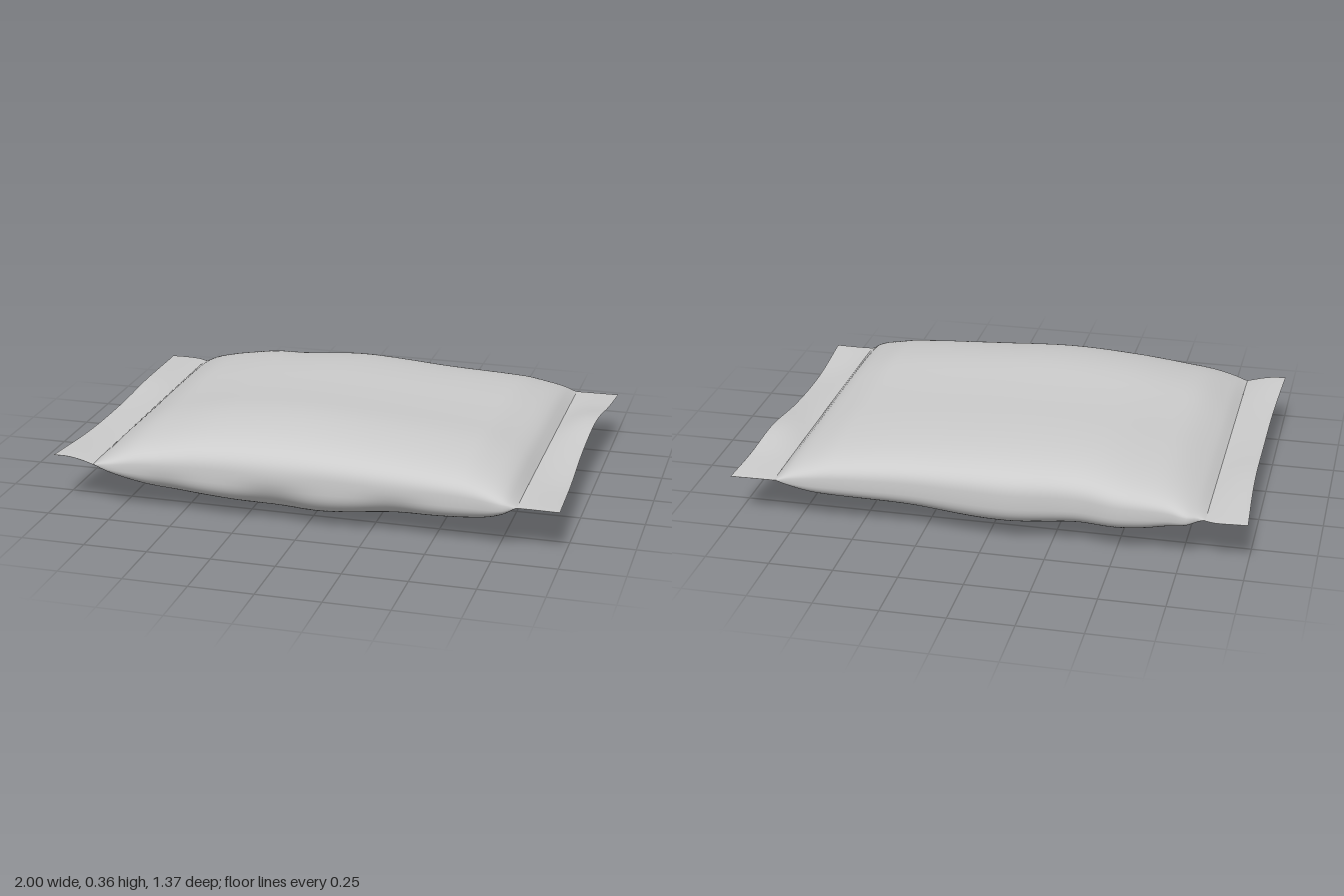
import * as THREE from 'three';

const SEAM_Y = 0.19;
const LEFT = -0.84, RIGHT = 0.825; // where the filled part meets the flat seals
const AROUND = 112;

// Smooth interpolation through [position, value] pairs.
function smooth(pts) {
  const slope = pts.map((p, i) => {
    const a = pts[Math.max(i - 1, 0)], b = pts[Math.min(i + 1, pts.length - 1)];
    return (b[1] - a[1]) / (b[0] - a[0]);
  });
  return (x) => {
    if (x <= pts[0][0]) return pts[0][1];
    for (let i = 0; i < pts.length - 1; i++) {
      const [x0, y0] = pts[i], [x1, y1] = pts[i + 1];
      if (x > x1) continue;
      const d = x1 - x0, t = (x - x0) / d, s = 1 - t;
      return y0 * (1 + 2 * t) * s * s + slope[i] * d * t * s * s
        + y1 * t * t * (3 - 2 * t) - slope[i + 1] * d * t * t * s;
    }
    return pts[pts.length - 1][1];
  };
}

// Swelling above and below the seam, along the length.
const topHeight = smooth([[LEFT, 0.004], [-0.8, 0.04], [-0.7, 0.095], [-0.6, 0.122], [-0.4, 0.157],
  [-0.1, 0.175], [0.2, 0.16], [0.6, 0.125], [0.7, 0.095], [0.78, 0.055], [RIGHT, 0.004]]);
const bottomHeight = smooth([[LEFT, 0.004], [-0.8, 0.045], [-0.7, 0.105], [-0.6, 0.14], [-0.4, 0.162],
  [0, 0.188], [0.3, 0.158], [0.6, 0.132], [0.7, 0.11], [0.78, 0.06], [RIGHT, 0.004]]);

// Uneven fill across the depth.
const topFill = smooth([[-0.7, 0.95], [-0.3, 0.93], [0.02, 0.93], [0.3, 1.02], [0.5, 1.02], [0.7, 1]]);
const bottomFill = smooth([[-0.7, 0.85], [-0.5, 0.87], [-0.3, 0.91], [0, 0.93], [0.2, 1], [0.5, 0.98], [0.7, 0.95]]);

// Wavy long sides, back and front.
const backEdge = smooth([[-1, -0.68], [-0.88, -0.682], [-0.82, -0.663], [-0.77, -0.685], [-0.69, -0.672],
  [-0.5, -0.682], [-0.34, -0.655], [-0.1, -0.682], [0.1, -0.672], [0.3, -0.658], [0.5, -0.665], [0.78, -0.684], [1, -0.69]]);
const frontEdge = smooth([[-1, 0.67], [-0.85, 0.665], [-0.77, 0.677], [-0.65, 0.668], [-0.4, 0.663],
  [-0.1, 0.672], [0.2, 0.665], [0.65, 0.668], [0.77, 0.685], [0.83, 0.668], [1, 0.668]]);

// Ripple and outer edge of the two seals, across the depth.
const rightRipple = smooth([[-0.69, 0], [-0.5, 0.008], [-0.27, 0.03], [0, 0.004], [0.35, -0.016], [0.67, 0]]);
const leftRipple = smooth([[-0.69, 0.004], [-0.3, 0.018], [0, 0.008], [0.35, 0.01], [0.67, 0.026]]);
const rightEnd = smooth([[-0.69, 1], [-0.3, 0.975], [0, 0.965], [0.4, 0.975], [0.67, 0.985]]);
const leftEnd = smooth([[-0.69, -1], [-0.35, -0.985], [0, -0.982], [0.35, -0.985], [0.67, -1]]);

const gauss = (d, w) => Math.exp(-(d * d) / (w * w));
const signedPow = (v, p) => Math.sign(v) * Math.abs(v) ** p;

// Soft creases pressed into the lower front wall.
const dent = (x) => 0.03 * gauss(x + 0.12, 0.13) + 0.025 * gauss(x - 0.35, 0.12) + 0.015 * gauss(x + 0.55, 0.1);

// One point on the bag: x along the length, angle around the section.
function bagPoint(x, angle) {
  const c = signedPow(Math.cos(angle), 0.62), s = signedPow(Math.sin(angle), 0.62);
  const zb = backEdge(x), zf = frontEdge(x);
  let z = (zb + zf) / 2 + c * (zf - zb) / 2;
  const h = s >= 0 ? topHeight(x) * topFill(z) : bottomHeight(x) * bottomFill(z);
  const y = SEAM_Y + s * h;
  if (c > 0 && s < 0) z -= dent(x) * c * c * Math.min(1, -2 * s) * (h / 0.19);
  return [x, y, z];
}

// One point on a seal: t runs from the bag (0) to the outer edge (1).
function sealPoint(t, angle, side) {
  const x0 = side > 0 ? RIGHT : LEFT;
  const c = signedPow(Math.cos(angle), 0.62), s = signedPow(Math.sin(angle), 0.62);
  const xm = x0 + (side - x0) * t;
  const zb = backEdge(xm), zf = frontEdge(xm);
  const z = (zb + zf) / 2 + c * (zf - zb) / 2;
  const end = side > 0 ? rightEnd(z) : leftEnd(z);
  const lift = (side > 0 ? rightRipple(z) : leftRipple(z)) * Math.sin(Math.min(1, t * 1.2) * Math.PI / 2);
  const thick = t >= 1 ? 0 : 0.004;
  return [x0 + (end - x0) * t, SEAM_Y + lift + s * thick, z];
}

// Closed skin through rings that follow each other towards +x.
function skin(name, stations, point) {
  const pos = [], index = [];
  stations.forEach((u, i) => {
    for (let j = 0; j < AROUND; j++) {
      pos.push(...point(u, (j / AROUND) * Math.PI * 2));
      if (i === stations.length - 1) continue;
      const a = i * AROUND + j, b = i * AROUND + (j + 1) % AROUND;
      index.push(a, a + AROUND, b + AROUND, a, b + AROUND, b);
    }
  });
  const geo = new THREE.BufferGeometry();
  geo.setAttribute('position', new THREE.Float32BufferAttribute(pos, 3));
  geo.setIndex(index);
  geo.computeVertexNormals();
  const mesh = new THREE.Mesh(geo, new THREE.MeshStandardMaterial({ color: 0xcccccc, side: THREE.DoubleSide }));
  mesh.name = name;
  return mesh;
}

export function createModel() {
  const group = new THREE.Group();
  group.name = 'pillowBag';

  // Filled body
  const n = 120;
  const body = Array.from({ length: n + 1 }, (_, i) => LEFT + (RIGHT - LEFT) * i / n);
  group.add(skin('filledBody', body, bagPoint));

  // Flat end seals
  const seal = [0, 0.12, 0.25, 0.4, 0.55, 0.7, 0.85, 0.98, 1];
  group.add(skin('leftSeal', seal, (t, a) => sealPoint(t, a, 1)));
  group.add(skin('rightSeal', [...seal].reverse(), (t, a) => sealPoint(t, a, -1)));
  return group;
}
